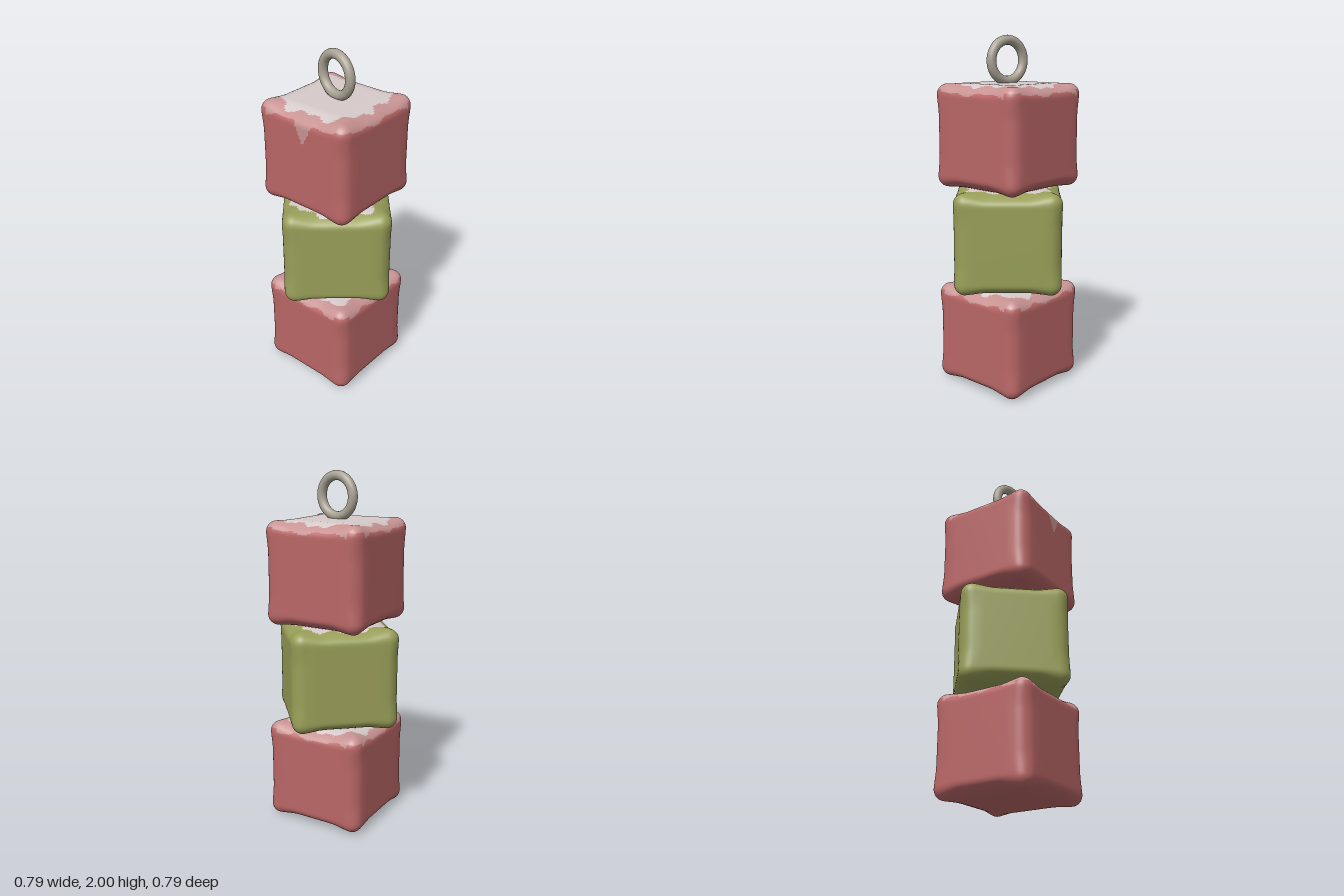
import * as THREE from 'three';
import { mergeVertices } from 'three/addons/utils/BufferGeometryUtils.js';

const mat = (name, color) => {
  const m = new THREE.MeshStandardMaterial({ color });
  m.name = name;
  return m;
};
const { smoothstep, clamp } = THREE.MathUtils;

// Soft cube: rounded box whose edges sag slightly between the corners
function softCube(half, halfY, radius) {
  const n = 44;
  let geo = new THREE.BoxGeometry(half * 2, halfY * 2, half * 2, n, n, n);
  geo.deleteAttribute('uv');
  geo.deleteAttribute('normal');
  geo = mergeVertices(geo, 1e-5);
  const pos = geo.attributes.position;
  const v = new THREE.Vector3(), inner = new THREE.Vector3();
  const rim = (t) => smoothstep(t, 0.6, 1);
  const middle = (t) => 1 - smoothstep(t, 0.35, 0.88);
  for (let i = 0; i < pos.count; i++) {
    v.fromBufferAttribute(pos, i);
    inner.set(
      clamp(v.x, radius - half, half - radius),
      clamp(v.y, radius - halfY, halfY - radius),
      clamp(v.z, radius - half, half - radius));
    v.sub(inner).setLength(radius).add(inner);
    const x = Math.abs(v.x) / half, y = Math.abs(v.y) / halfY, z = Math.abs(v.z) / half;
    const sag = 0.028 * (rim(x) * middle(z) + rim(z) * middle(x)) * y ** 5;
    const waist = 0.008 * rim(x) * rim(z) * middle(y);
    pos.setXYZ(i, v.x - Math.sign(v.x) * waist, v.y - Math.sign(v.y) * sag, v.z - Math.sign(v.z) * waist);
  }
  geo.computeVertexNormals();
  return geo;
}

// Sorts the faces into one group per colour; pick(centre) returns the material index
function paint(geo, count, pick) {
  const idx = geo.index.array, pos = geo.attributes.position;
  const lists = Array.from({ length: count }, () => []);
  const c = new THREE.Vector3(), p = new THREE.Vector3();
  for (let i = 0; i < idx.length; i += 3) {
    c.set(0, 0, 0);
    for (let k = 0; k < 3; k++) c.add(p.fromBufferAttribute(pos, idx[i + k]));
    lists[pick(c.divideScalar(3))].push(idx[i], idx[i + 1], idx[i + 2]);
  }
  geo.setIndex(lists.flat());
  geo.clearGroups();
  let start = 0;
  lists.forEach((l, m) => {
    geo.addGroup(start, l.length, m);
    start += l.length;
  });
  return geo;
}

// Ragged pale patch on the top face
function inPatch(c, halfY, size, seed) {
  const a = Math.atan2(c.z, c.x);
  const r = ((c.x + 0.008) ** 4 + c.z ** 4) ** 0.25;
  const edge = size + 0.014 * Math.sin(a * 7 + seed) + 0.011 * Math.sin(a * 13 + seed * 2);
  return c.y > halfY - 0.03 && r < edge;
}

export function createModel() {
  const red = mat('red', 0xb96666);
  const pink = mat('palePink', 0xc79292);
  const frost = mat('frost', 0xd6caca);
  const green = mat('olive', 0x989e58);
  const metal = mat('metal', 0xa9a293);

  const model = new THREE.Group();
  model.name = 'stackedCubes';
  const half = 0.301, halfY = 0.292, radius = 0.066;

  // Red cubes: frosted top, pale ragged rim
  const redCube = (name, y, seed, drip) => {
    const geo = paint(softCube(half, halfY, radius), 3, (c) => {
      if (inPatch(c, halfY, 0.245, seed)) return 2;
      const along = Math.abs(c.x) > Math.abs(c.z) ? c.z : c.x;
      let depth = 0.052 + 0.008 * Math.sin(along * 22 + seed) + 0.005 * Math.sin(along * 47);
      if (Math.min(Math.abs(c.x), Math.abs(c.z)) > 0.235) depth = 0.036;
      // small drip on the front
      if (drip && c.z > 0.2) depth += 0.1 * Math.max(0, 1 - Math.abs(c.x - 0.025) / 0.06);
      return c.y > halfY - depth ? 1 : 0;
    });
    const mesh = new THREE.Mesh(geo, [red, pink, frost]);
    mesh.name = name;
    mesh.position.y = y;
    model.add(mesh);
  };
  redCube('bottomCube', 0.292, 2.1, false);
  redCube('topCube', 1.448, 0.6, true);

  // Green cube, turned between the red ones
  const middle = new THREE.Mesh(
    paint(softCube(half, halfY, radius), 2, (c) => (inPatch(c, halfY, 0.235, 1.3) ? 1 : 0)),
    [green, frost]);
  middle.name = 'middleCube';
  middle.position.y = 0.87;
  middle.rotation.y = THREE.MathUtils.degToRad(41);
  model.add(middle);

  // Hanging ring
  const ring = new THREE.Mesh(new THREE.TorusGeometry(0.111, 0.027, 16, 48), metal);
  ring.name = 'hangingRing';
  ring.position.set(0.003, 1.862, 0.004);
  ring.rotation.y = THREE.MathUtils.degToRad(-10);
  model.add(ring);

  return model;
}
